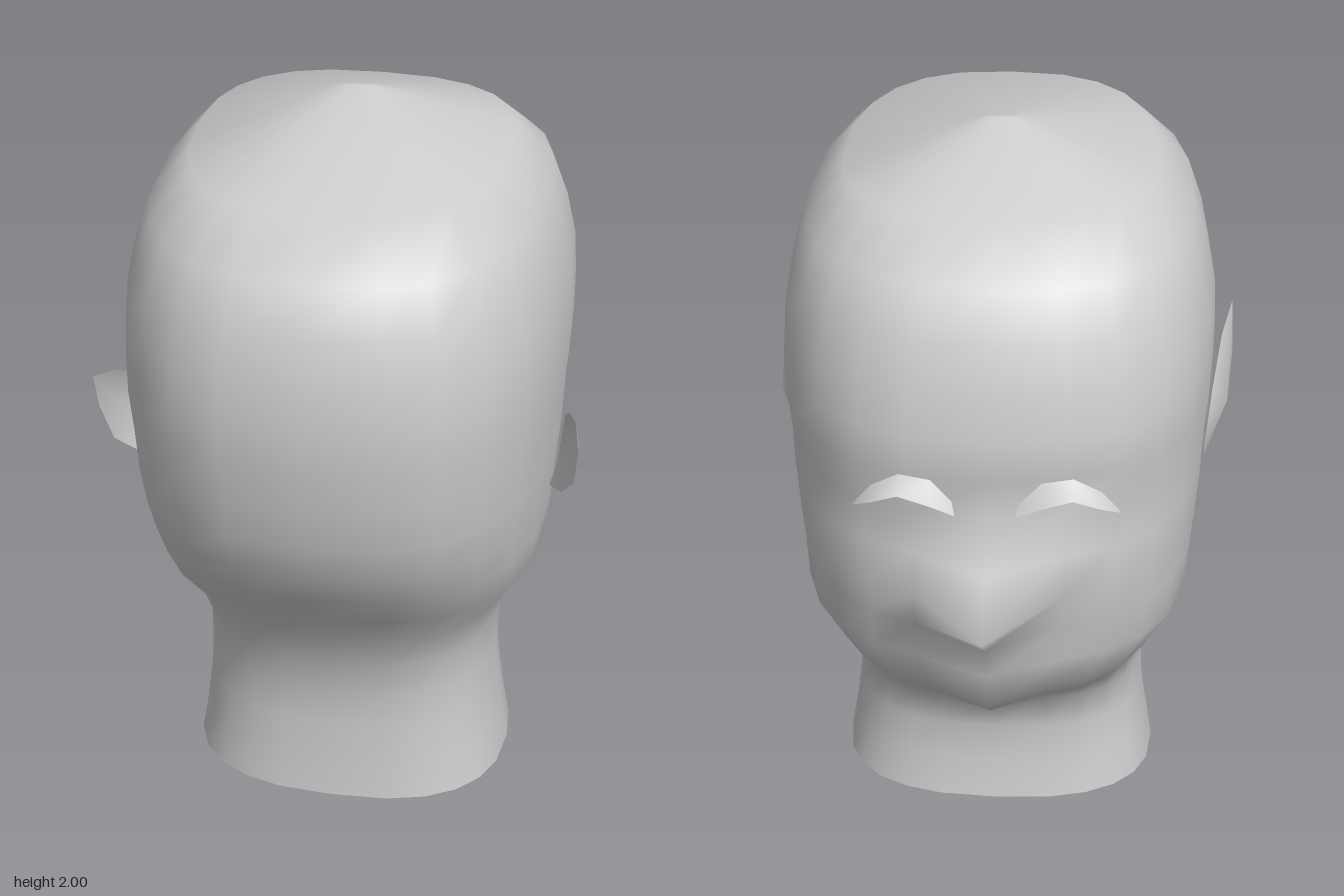
import * as THREE from 'three';

const skin = new THREE.MeshStandardMaterial({ color: 0xcccccc, side: THREE.DoubleSide });
skin.name = 'plain grey';

function meshFrom(name, points, index) {
  const g = new THREE.BufferGeometry();
  g.setAttribute('position', new THREE.Float32BufferAttribute(points.flat(), 3));
  g.setIndex(index);
  g.computeVertexNormals();
  const mesh = new THREE.Mesh(g, skin);
  mesh.name = name;
  return mesh;
}

// Head and neck: rounded cross-sections; the face looks towards -z.
// Each row: y, half width, back z, face z, z of the centre line of the face
const ROWS = [
  [0.00, 0.445, 0.43, -0.265, -0.265], [0.12, 0.425, 0.42, -0.245, -0.245],
  [0.24, 0.41, 0.415, -0.24, -0.24], [0.35, 0.405, 0.415, -0.26, -0.28],
  [0.47, 0.41, 0.45, -0.40, -0.47], [0.59, 0.455, 0.50, -0.53, -0.62],
  [0.71, 0.53, 0.59, -0.57, -0.64], [0.83, 0.54, 0.68, -0.59, -0.69],
  [0.94, 0.55, 0.745, -0.62, -0.82], [1.06, 0.56, 0.79, -0.60, -0.70],
  [1.18, 0.565, 0.81, -0.59, -0.59], [1.30, 0.575, 0.827, -0.62, -0.62],
  [1.41, 0.575, 0.83, -0.61, -0.61], [1.53, 0.57, 0.82, -0.585, -0.585],
  [1.65, 0.545, 0.79, -0.545, -0.545], [1.77, 0.505, 0.735, -0.48, -0.48],
  [1.88, 0.41, 0.60, -0.33, -0.33], [2.00, 0.045, 0.045, 0.035, 0.035],
];

function makeHead() {
  const N = 24, points = [], index = [];
  const round = (v) => Math.sign(v) * Math.abs(v) ** 0.78;
  for (const [y, half, back, front, centre] of ROWS) {
    const mid = Math.min(0.06, (back + front) / 2);
    for (let i = 0; i < N; i++) {
      const a = (i / N) * Math.PI * 2, c = round(Math.cos(a));
      const z = i === N / 2 ? centre : mid + c * (c > 0 ? back - mid : mid - front);
      points.push([half * round(Math.sin(a)), y, z]);
    }
  }
  for (let r = 0; r < ROWS.length - 1; r++) {
    for (let i = 0; i < N; i++) {
      const a = r * N + i, b = r * N + (i + 1) % N;
      index.push(a, b, b + N, a, b + N, a + N);
    }
  }
  // Tiny cap on the crown
  const top = (ROWS.length - 1) * N;
  for (let i = 1; i < N - 1; i++) index.push(top, top + i, top + i + 1);
  return meshFrom('head', points, index);
}

// Pointed ear: a bulged leaf, leaning outwards towards its back edge
function makeEar(side) {
  const points = [
    [0.625, 1.08, 0.19],
    [0.635, 1.28, 0.415], [0.605, 1.235, 0.29], [0.58, 1.14, 0.14], [0.57, 1.07, 0.085],
    [0.56, 0.96, 0.08], [0.545, 0.91, 0.13], [0.585, 0.94, 0.21], [0.625, 1.02, 0.29],
    [0.64, 1.16, 0.36],
  ].map(([x, y, z]) => [x * side, y, z]);
  const index = [];
  for (let i = 1; i <= 9; i++) {
    const j = (i % 9) + 1;
    index.push(0, ...(side > 0 ? [j, i] : [i, j]));
  }
  return meshFrom(side > 0 ? 'leftEar' : 'rightEar', points, index);
}

// Brow: a thin arched strip standing off the face
function makeBrow(side) {
  const upper = [[0.085, 1.26, -0.65], [0.14, 1.31, -0.63], [0.22, 1.325, -0.63], [0.29, 1.29, -0.63], [0.335, 1.23, -0.615]];
  const lower = [[0.075, 1.24, -0.685], [0.14, 1.27, -0.69], [0.22, 1.29, -0.68], [0.29, 1.26, -0.665], [0.34, 1.22, -0.615]];
  const points = [...upper, ...lower].map(([x, y, z]) => [x * side, y, z]);
  const index = [];
  for (let i = 0; i < 4; i++) {
    const q = [i, i + 1, i + 6, i, i + 6, i + 5];
    index.push(...(side > 0 ? q : q.reverse()));
  }
  return meshFrom(side > 0 ? 'leftBrow' : 'rightBrow', points, index);
}

export function createModel() {
  const model = new THREE.Group();
  model.name = 'headBust';
  model.add(makeHead());
  for (const side of [1, -1]) model.add(makeEar(side), makeBrow(side));
  return model;
}
